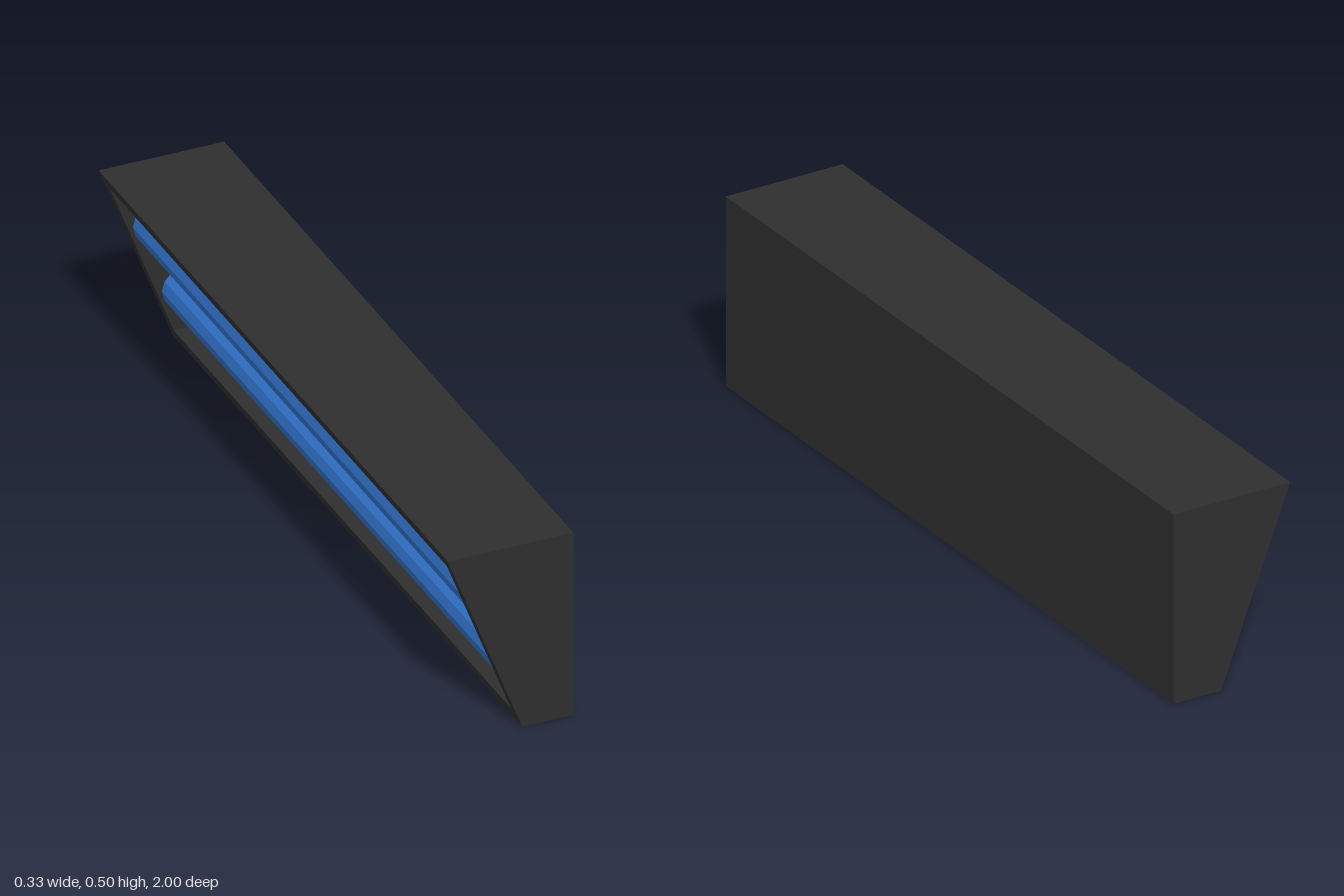
import * as THREE from 'three';

const LENGTH = 2, HEIGHT = 0.5, WALL = 0.035, BACK = 0.163, FOOT = 0.03;
const SLOPE = (BACK + FOOT) / HEIGHT;
// x of the sloping open side at a given height
const slantX = (y) => FOOT - SLOPE * y;

// Extrudes a side profile along z, centred on zMid
function extrudeProfile(points, depth, zMid, material, name) {
  const shape = new THREE.Shape(points.map(([x, y]) => new THREE.Vector2(x, y)));
  const geometry = new THREE.ExtrudeGeometry(shape, { depth, bevelEnabled: false });
  geometry.translate(0, 0, zMid - depth / 2);
  const mesh = new THREE.Mesh(geometry, material);
  mesh.name = name;
  return mesh;
}

export function createModel() {
  const model = new THREE.Group();
  model.name = 'wallLightFixture';
  const charcoal = new THREE.MeshStandardMaterial({ color: 0x2e2e2e });
  charcoal.name = 'charcoal';
  const blue = new THREE.MeshStandardMaterial({ color: 0x3070c6, flatShading: true });
  blue.name = 'blue';

  // Housing: floor, back and roof as one channel, open on the sloping side
  const top = HEIGHT - WALL, inner = BACK - WALL;
  model.add(extrudeProfile([
    [FOOT, 0], [BACK, 0], [BACK, HEIGHT], [-BACK, HEIGHT],
    [slantX(top), top], [inner, top], [inner, WALL], [slantX(WALL), WALL],
  ], LENGTH - 2 * WALL, 0, charcoal, 'housing'));

  // Solid end walls
  for (const side of [1, -1]) {
    model.add(extrudeProfile(
      [[FOOT, 0], [BACK, 0], [BACK, HEIGHT], [-BACK, HEIGHT]],
      WALL, side * (LENGTH - WALL) / 2, charcoal, side > 0 ? 'frontEndWall' : 'backEndWall',
    ));
  }

  // Two tubes behind the opening, running from end wall to end wall
  const tubeGeometry = new THREE.CylinderGeometry(0.053, 0.053, LENGTH - 2 * WALL, 12);
  tubeGeometry.rotateX(Math.PI / 2);
  [['lowerTube', 0.15], ['upperTube', 0.345]].forEach(([name, y]) => {
    const tube = new THREE.Mesh(tubeGeometry, blue);
    tube.name = name;
    tube.position.set(slantX(y) + 0.066, y, 0);
    model.add(tube);
  });

  return model;
}
